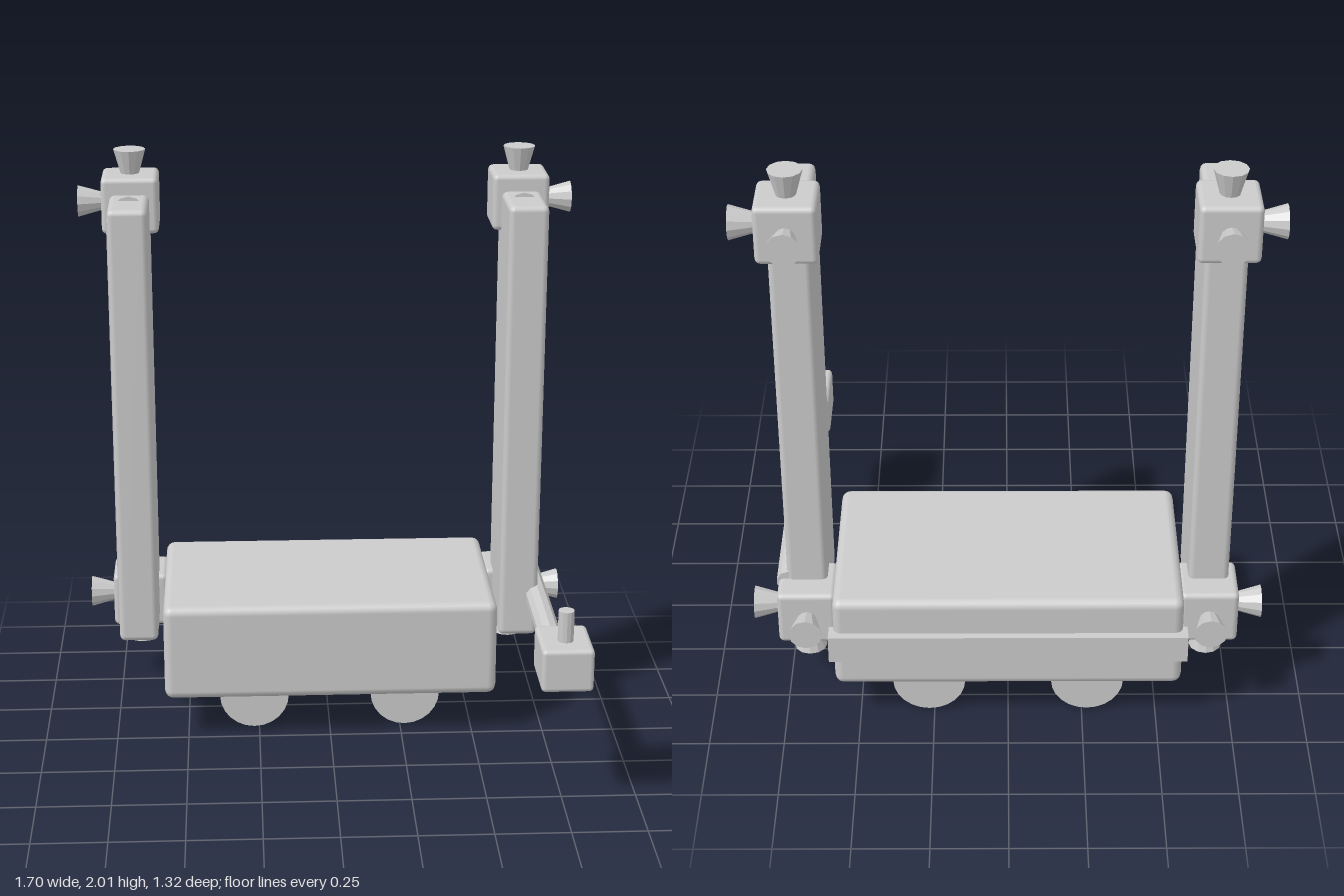
import * as THREE from 'three';
import { RoundedBoxGeometry } from 'three/addons/geometries/RoundedBoxGeometry.js';

const smooth = new THREE.MeshStandardMaterial({ color: 0xcccccc });
const faceted = new THREE.MeshStandardMaterial({ color: 0xcccccc, flatShading: true });

function add(parent, name, geometry, material, x, y, z) {
  const mesh = new THREE.Mesh(geometry, material);
  mesh.name = name;
  mesh.position.set(x, y, z);
  parent.add(mesh);
  return mesh;
}

// Box given by its minimum and maximum corners
function block(parent, name, min, max, radius) {
  const s = max.map((v, i) => v - min[i]);
  const c = max.map((v, i) => (v + min[i]) / 2);
  const geometry = radius ? new RoundedBoxGeometry(...s, 2, radius) : new THREE.BoxGeometry(...s);
  return add(parent, name, geometry, smooth, ...c);
}

// Corner cube with flared knobs pointing along the given directions
function connector(name, directions) {
  const group = new THREE.Group();
  group.name = name;
  add(group, 'cube', new RoundedBoxGeometry(0.195, 0.195, 0.195, 2, 0.018), smooth, 0, 0, 0);
  const up = new THREE.Vector3(0, 1, 0);
  for (const d of directions) {
    const dir = new THREE.Vector3(...d);
    const knob = add(group, 'knob', new THREE.CylinderGeometry(0.055, 0.03, 0.09, 12), faceted, 0, 0, 0);
    knob.position.copy(dir).multiplyScalar(0.135);
    knob.quaternion.setFromUnitVectors(up, dir);
  }
  return group;
}

export function createModel() {
  const model = new THREE.Group();
  model.name = 'liftCart';

  // Base with the rail along its back
  block(model, 'base', [-0.58, 0.155, -0.635], [0.58, 0.5, 0.025], 0.03);
  block(model, 'backRail', [-0.595, 0.275, -0.66], [0.595, 0.375, -0.6]);

  // Rollers under the base
  for (const s of [-1, 1]) {
    const roller = add(model, 'roller', new THREE.CylinderGeometry(0.122, 0.122, 0.49, 24), faceted, s * 0.267, 0.122, -0.325);
    roller.rotation.x = Math.PI / 2;
  }

  // Side towers with connectors at both ends
  for (const s of [-1, 1]) {
    const tower = new THREE.Group();
    tower.name = s > 0 ? 'leftTower' : 'rightTower';
    const panel = block(tower, 'panel', [-0.0675, 0.31, -0.465], [0.0675, 1.865, -0.135], 0.02);
    panel.position.x = s * 0.001;
    const strip = block(tower, 'sideStrip', [-0.02, 0.33, -0.365], [0.02, 1.8, -0.25]);
    strip.position.x = s * 0.056;
    for (const [name, y, v] of [['topConnector', 1.825, 1], ['bottomConnector', 0.373, -1]]) {
      const corner = connector(name, [[s, 0, 0], [0, v, 0], [0, 0, -1], [0, 0, 1]]);
      corner.position.set(0, y, -0.46);
      tower.add(corner);
    }
    tower.position.x = s * 0.67;
    model.add(tower);
  }

  // Control arm reaching forward on one side
  const arm = new THREE.Group();
  arm.name = 'controlArm';
  const rod = add(arm, 'rod', new THREE.CylinderGeometry(0.04, 0.04, 0.94, 10), faceted, 0.735, 0.458, 0.01);
  rod.rotation.x = Math.PI / 2;
  block(arm, 'controlBox', [0.65, 0.453, 0.44], [0.82, 0.6, 0.655], 0.015);
  add(arm, 'lever', new THREE.CylinderGeometry(0.026, 0.026, 0.13, 12), faceted, 0.735, 0.64, 0.567);
  model.add(arm);

  return model;
}
